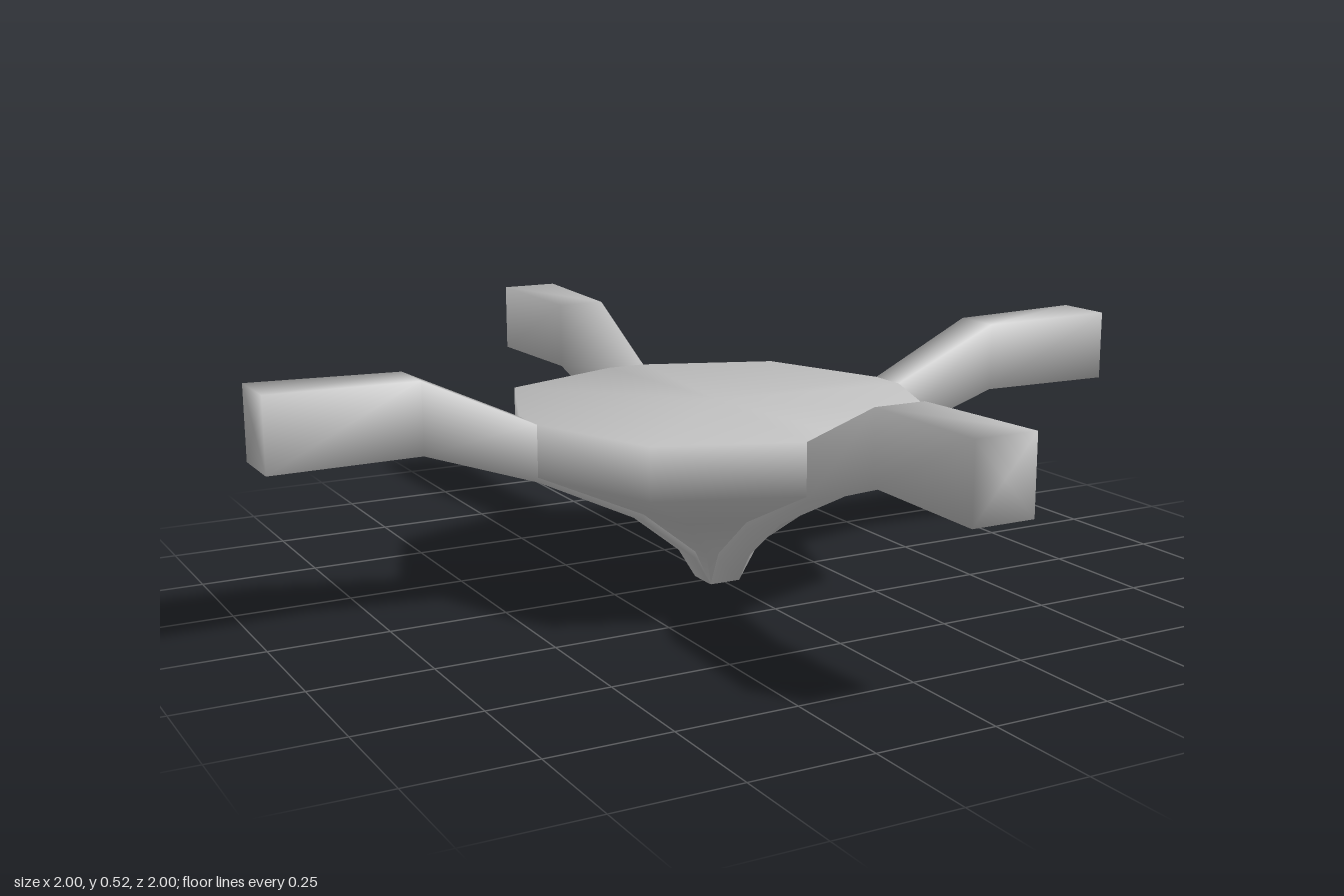
import * as THREE from 'three';

// Smooth closed skin through a list of equal-length loops, capped at both ends
function loft(loops) {
  const n = loops[0].length, last = (loops.length - 1) * n;
  const points = loops.flat();
  const index = [];
  for (let i = 0; i < loops.length - 1; i++) {
    for (let j = 0; j < n; j++) {
      const k = (j + 1) % n;
      const a = i * n + j, b = i * n + k, c = b + n, d = a + n;
      index.push(a, b, d, b, c, d);
    }
  }
  const centre = (loop) => [0, 1, 2].map((k) => loop.reduce((s, p) => s + p[k], 0) / n);
  const first = points.length;
  points.push(centre(loops[0]), centre(loops[loops.length - 1]));
  for (let j = 0; j < n; j++) {
    const k = (j + 1) % n;
    index.push(first, k, j, first + 1, last + j, last + k);
  }
  const geometry = new THREE.BufferGeometry();
  geometry.setAttribute('position', new THREE.Float32BufferAttribute(points.flat(), 3));
  geometry.setIndex(index);
  geometry.computeVertexNormals();
  return geometry;
}

// Twelve-sided ring: a narrow flat behind each arm and one corner between arms
function bowlRing([r, halfWidth, corner, y]) {
  const ring = [];
  for (let q = 0; q < 4; q++) {
    for (let [x, z] of [[r, -halfWidth], [r, halfWidth], [corner, corner]]) {
      for (let t = 0; t < q; t++) [x, z] = [-z, x];
      ring.push([x, y, z]);
    }
  }
  return ring;
}

export function createModel() {
  const group = new THREE.Group();
  const grey = new THREE.MeshStandardMaterial({ color: 0xc0c0c0 });
  grey.name = 'plain grey';

  // Central body: flat lid, short upright wall, hollowed taper to a small foot
  const bowl = new THREE.Mesh(loft([
    [0.44, 0.045, 0.33, 0.4],
    [0.44, 0.045, 0.33, 0.29],
    [0.2, 0.04, 0.155, 0.18],
    [0.075, 0.037, 0.06, 0.08],
    [0.035, 0.034, 0.035, 0],
  ].map(bowlRing)), grey);
  bowl.name = 'centralBody';
  group.add(bowl);

  // Arm section: radius, top, bottom, half width; runs inward into a rib under the body
  const armGeometry = loft([
    [1, 0.52, 0.365, 0.066],
    [0.685, 0.515, 0.365, 0.055],
    [0.44, 0.4, 0.28, 0.045],
    [0.2, 0.3, 0.165, 0.041],
    [0.075, 0.14, 0.065, 0.038],
    [0.036, 0.08, 0, 0.035],
  ].map(([r, top, bottom, w]) => [[r, bottom, w], [r, top, w], [r, top, -w], [r, bottom, -w]]));

  ['leftArm', 'backArm', 'rightArm', 'frontArm'].forEach((name, i) => {
    const arm = new THREE.Mesh(armGeometry, grey);
    arm.name = name;
    arm.rotation.y = i * Math.PI / 2;
    group.add(arm);
  });

  return group;
}
